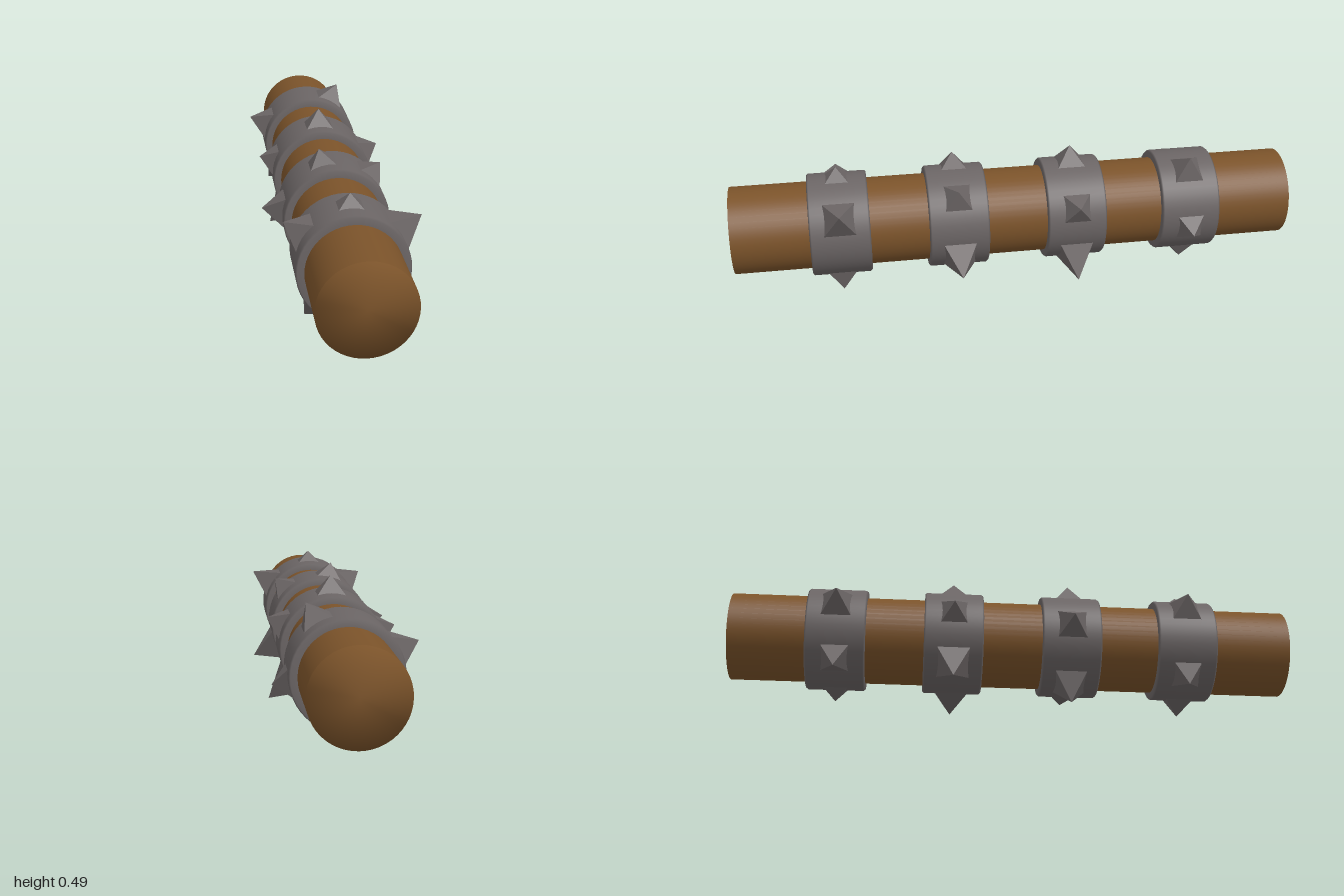
import * as THREE from 'three';

const CENTRE_Y = 0.255, LOG_R = 0.155, BAND_R = 0.182;
const SPIKE_BASE = 0.14, SPIKE_HALF = 0.075;

// Each band: position along z, and its spikes as [angle in degrees, tip radius]
const BANDS = [
  { z: 0.625, spikes: [[31, 0.266], [90, 0.22], [147.8, 0.248], [232.7, 0.24], [-66.2, 0.24]] },
  { z: 0.21, spikes: [[45.9, 0.234], [102.5, 0.23], [176, 0.25], [249.7, 0.271], [-27.3, 0.277]] },
  { z: -0.21, spikes: [[23.5, 0.238], [90.7, 0.24], [165, 0.235], [227.2, 0.282], [-41.8, 0.288]] },
  { z: -0.625, spikes: [[-10.7, 0.232], [60.8, 0.246], [159.4, 0.253], [226, 0.24], [-72.8, 0.223]] },
];

function add(parent, name, geometry, material) {
  const mesh = new THREE.Mesh(geometry, material);
  mesh.name = name;
  parent.add(mesh);
  return mesh;
}

// Flat disc whose normals lean outward at the rim, for a soft rounded look
function capGeometry() {
  const geo = new THREE.CircleGeometry(LOG_R, 48);
  const pos = geo.attributes.position, nor = geo.attributes.normal;
  for (let i = 1; i < pos.count; i++) {
    const n = new THREE.Vector3(pos.getX(i) / LOG_R, pos.getY(i) / LOG_R, 0.25).normalize();
    nor.setXYZ(i, n.x, n.y, n.z);
  }
  return geo;
}

// Square pyramid pointing along +x, with its base sunk into the band
function spikeGeometry(tip) {
  const height = tip - SPIKE_BASE;
  const cone = new THREE.ConeGeometry(SPIKE_HALF * Math.SQRT2, height, 4, 1, true);
  cone.rotateY(Math.PI / 4).rotateZ(-Math.PI / 2).translate(SPIKE_BASE + height / 2, 0, 0);
  const geo = cone.toNonIndexed();
  geo.computeVertexNormals();
  return geo;
}

export function createModel() {
  const wood = new THREE.MeshStandardMaterial({ color: 0x7b532a });
  wood.name = 'brownWood';
  const iron = new THREE.MeshStandardMaterial({ color: 0x6b6565 });
  iron.name = 'greyIron';

  const model = new THREE.Group();
  model.name = 'spikedLog';
  const body = new THREE.Group();
  body.name = 'logWithBands';
  body.position.y = CENTRE_Y;
  model.add(body);

  // Log shaft and its two ends
  const shaft = new THREE.CylinderGeometry(LOG_R, LOG_R, 2, 48, 1, true).rotateX(Math.PI / 2);
  add(body, 'logShaft', shaft, wood);
  add(body, 'frontEnd', capGeometry(), wood).position.z = 1;
  const back = add(body, 'backEnd', capGeometry(), wood);
  back.position.z = -1;
  back.rotation.y = Math.PI;

  // Iron bands with slightly softened edges
  const profile = [[0.15, -0.105], [0.177, -0.105], [BAND_R, -0.099],
    [BAND_R, 0.099], [0.177, 0.105], [0.15, 0.105]].map(([r, h]) => new THREE.Vector2(r, h));
  const ring = new THREE.LatheGeometry(profile, 48).rotateX(Math.PI / 2);

  for (const { z, spikes } of BANDS) {
    const band = new THREE.Group();
    band.name = 'spikedBand';
    band.position.z = z;
    body.add(band);
    add(band, 'ironRing', ring, iron);
    for (const [angle, tip] of spikes) {
      add(band, 'spike', spikeGeometry(tip), iron).rotation.z = THREE.MathUtils.degToRad(angle);
    }
  }
  return model;
}
